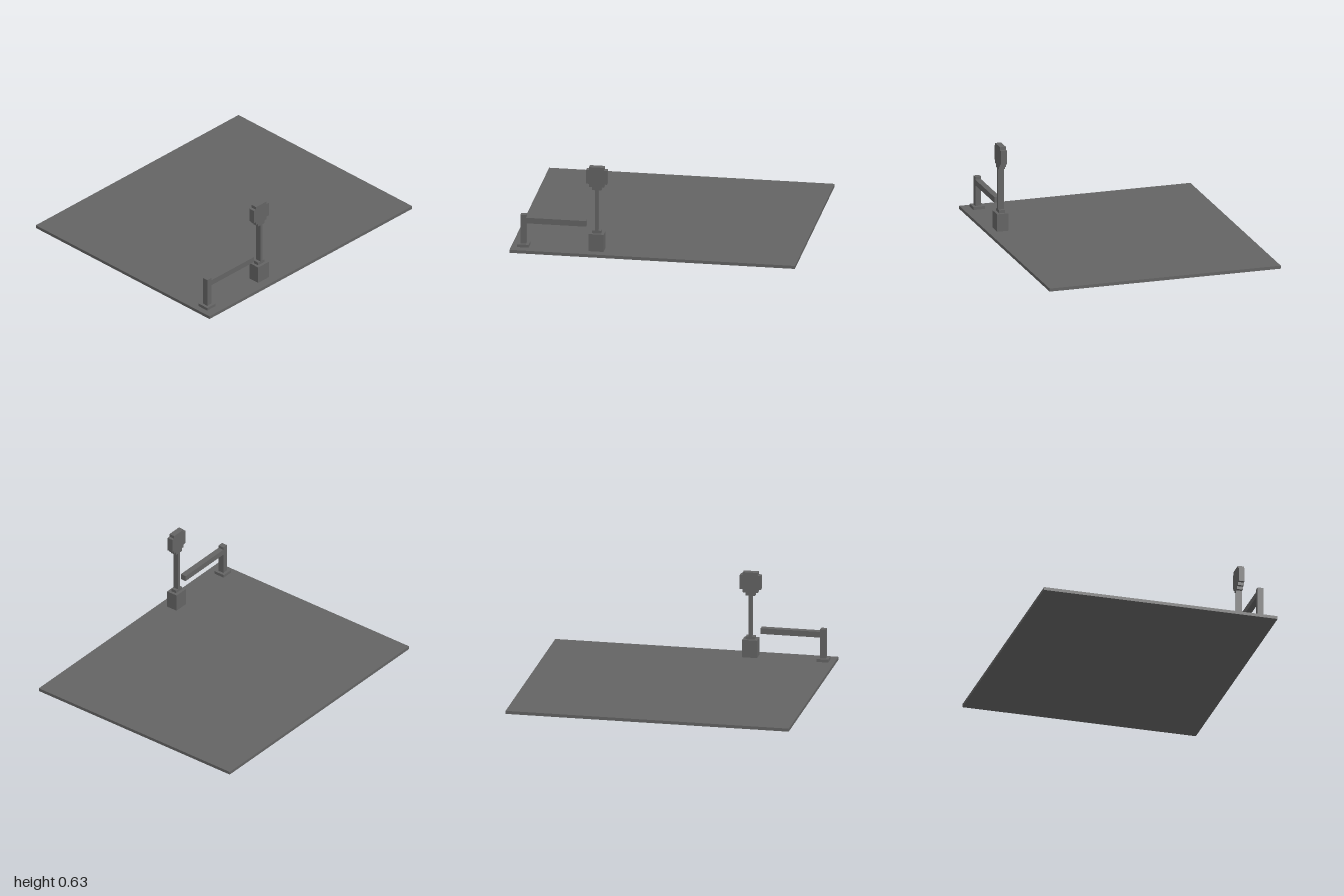
import * as THREE from 'three';

const grey = new THREE.MeshStandardMaterial({ color: 0x646464 });
grey.name = 'grey';

const FLOOR = 0.022; // top of the ground slab
const Z = 0.737;     // line along which the gate and sign stand

// Box given by its centre in x, width, bottom, top, depth and centre in z
function block(name, x, width, y0, y1, depth, z = Z) {
  const mesh = new THREE.Mesh(new THREE.BoxGeometry(width, y1 - y0, depth), grey);
  mesh.position.set(x, (y0 + y1) / 2, z);
  mesh.name = name;
  return mesh;
}

// Stepped sign plate, mirrored about its own middle
function signPlate(x) {
  const right = [[0.033, 0.465], [0.033, 0.487], [0.053, 0.487], [0.053, 0.51],
    [0.074, 0.51], [0.074, 0.612], [0.053, 0.612], [0.053, 0.633]];
  const left = right.map(([px, py]) => [-px, py]).reverse();
  const shape = new THREE.Shape([...right, ...left].map(([px, py]) => new THREE.Vector2(px, py)));
  const geometry = new THREE.ExtrudeGeometry(shape, { depth: 0.042, bevelEnabled: false });
  geometry.translate(0, 0, -0.021);
  const mesh = new THREE.Mesh(geometry, grey);
  mesh.position.set(x, 0, Z);
  mesh.name = 'signPlate';
  return mesh;
}

export function createModel() {
  const model = new THREE.Group();
  model.name = 'gateLot';
  model.add(block('groundSlab', 0, 2, 0, FLOOR, 1.683, 0));

  // Barrier gate: foot, post and arm
  const gate = new THREE.Group();
  gate.name = 'barrierGate';
  gate.add(
    block('gateFoot', -0.917, 0.082, FLOOR, 0.043, 0.083),
    block('gatePost', -0.917, 0.04, 0.043, 0.253, 0.042),
    block('gateArm', -0.687, 0.42, 0.193, 0.234, 0.042),
  );
  model.add(gate);

  // Sign: pedestal, collar, pole and plate
  const sign = new THREE.Group();
  sign.name = 'signPost';
  const x = -0.403;
  sign.add(
    block('pedestal', x, 0.105, FLOOR, 0.148, 0.083),
    block('collar', x, 0.064, 0.148, 0.169, 0.042),
    block('pole', x, 0.021, 0.169, 0.465, 0.042),
    signPlate(x),
  );
  model.add(sign);

  return model;
}
